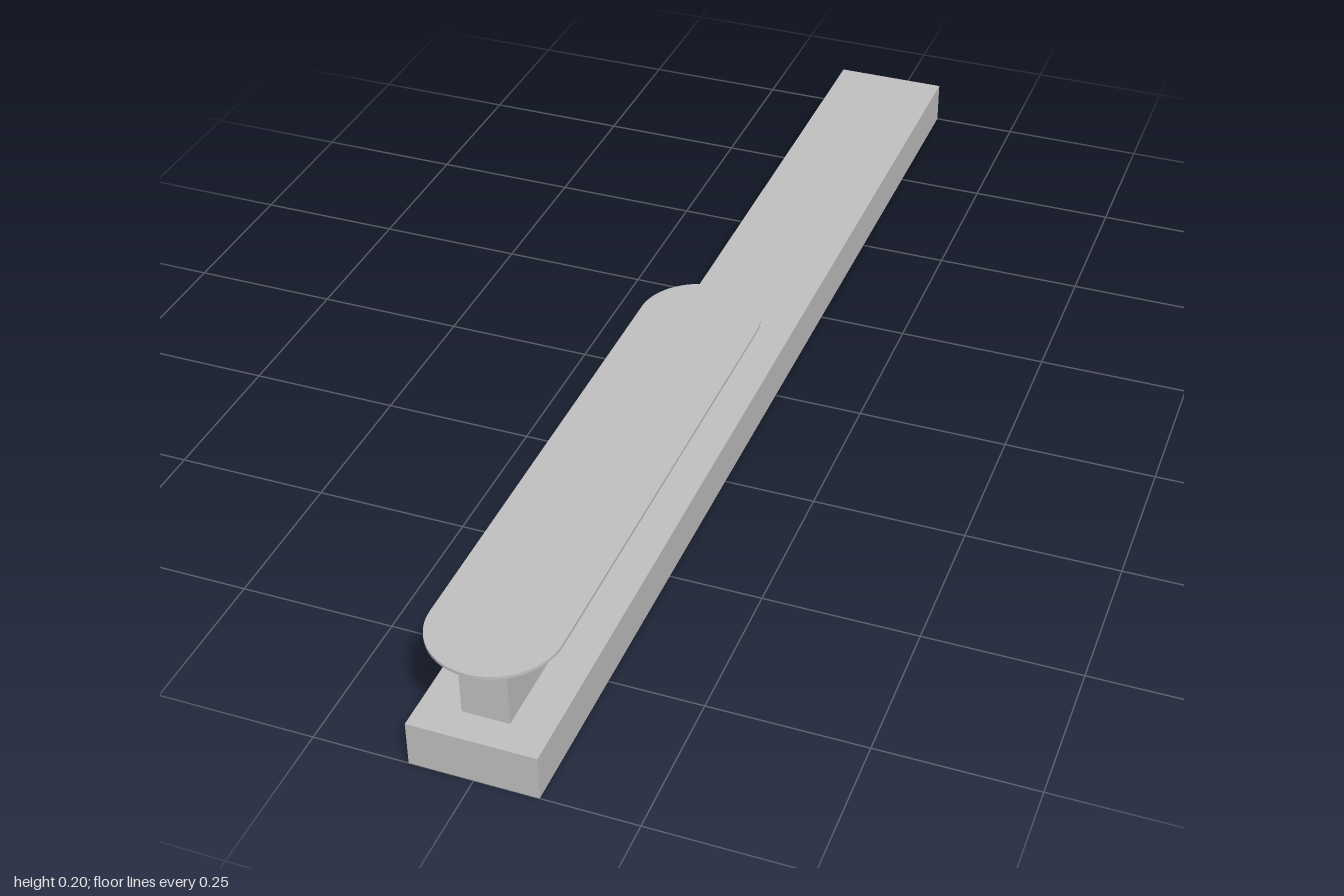
import * as THREE from 'three';

export function createModel() {
  const model = new THREE.Group();
  const grey = new THREE.MeshStandardMaterial({ color: 0xc0c0c0 });
  grey.name = 'light grey';

  const add = (name, geometry, x, y, z) => {
    const mesh = new THREE.Mesh(geometry, grey);
    mesh.name = name;
    mesh.position.set(x, y, z);
    model.add(mesh);
  };

  // Long base bar
  add('base', new THREE.BoxGeometry(0.2, 0.075, 2), 0, 0.0375, 0);

  // Narrow upright web on the front half
  add('web', new THREE.BoxGeometry(0.074, 0.12, 0.9), 0, 0.135, 0.5);

  // Thin top plate with semicircular ends
  const radius = 0.1, half = 0.4;
  const outline = new THREE.Shape();
  outline.absarc(0, half, radius, 0, Math.PI, false);
  outline.absarc(0, -half, radius, Math.PI, Math.PI * 2, false);
  outline.closePath();
  const plate = new THREE.ExtrudeGeometry(outline, { depth: 0.005, bevelEnabled: false, curveSegments: 24 });
  plate.rotateX(-Math.PI / 2);
  add('topPlate', plate, 0, 0.195, 0.5);

  return model;
}
